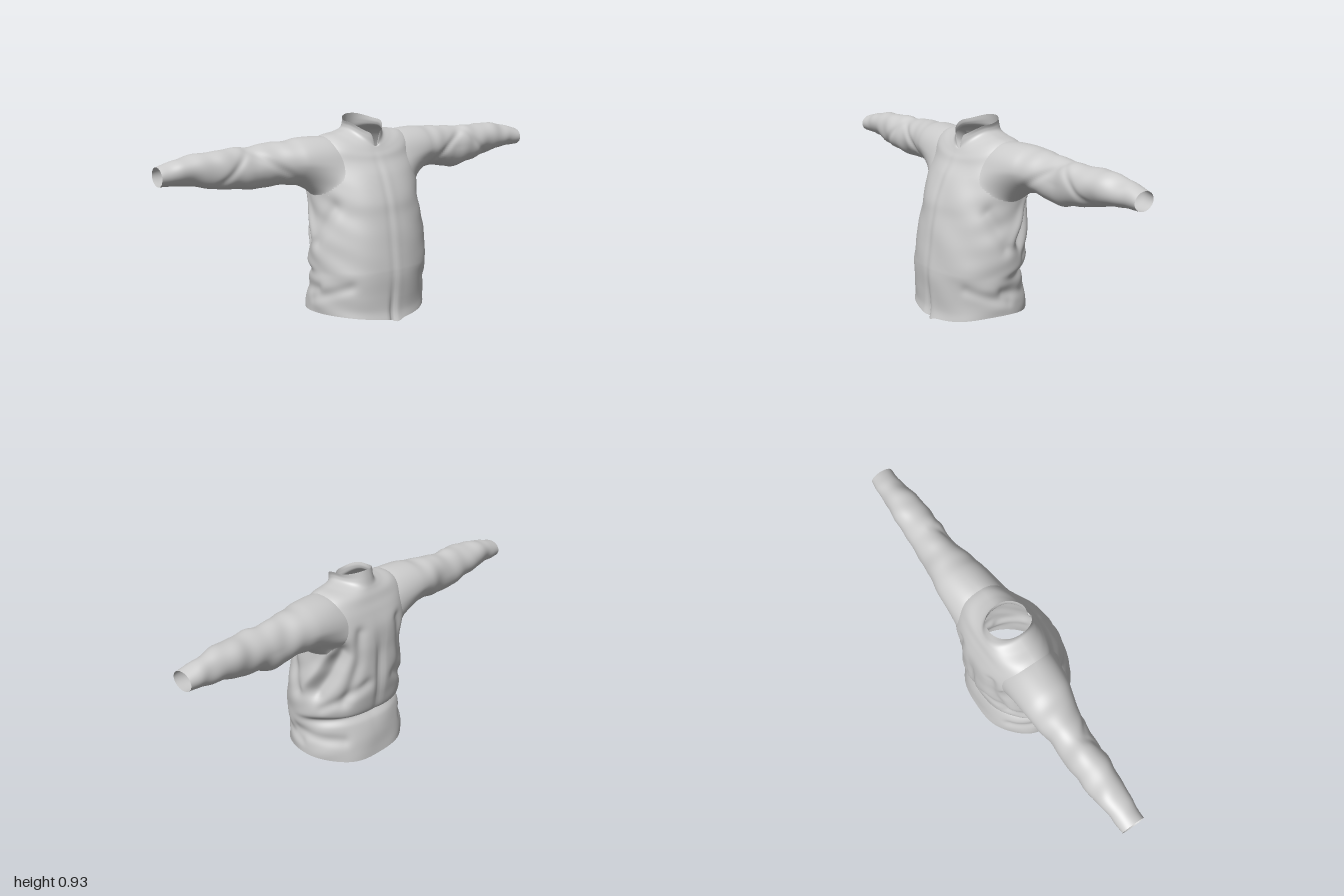
import * as THREE from 'three';

const material = new THREE.MeshStandardMaterial({ color: 0xcccccc, side: THREE.DoubleSide });
const bell = (d, w) => Math.exp(-(d * d) / (w * w));
const { lerp, smoothstep, clamp } = THREE.MathUtils;
const signedPow = (v, p) => Math.sign(v) * Math.pow(Math.abs(v), p);

// Smoothly interpolate a table of cross-section rows at t in 0..1
function sampleRows(rows, t) {
  const n = rows.length - 1;
  const f = t * n;
  const i = Math.min(Math.floor(f), n - 1);
  const k = f - i;
  const at = (j) => rows[Math.max(0, Math.min(n, j))];
  return rows[0].map((_, c) => {
    const a = at(i - 1)[c], b = at(i)[c], d = at(i + 1)[c], e = at(i + 2)[c];
    return b + 0.5 * k * (d - a + k * (2 * a - 5 * b + 4 * d - e + k * (3 * (b - d) + e - a)));
  });
}

// Open tube of rings; point(angle, t) gives each vertex, skip(angle, t) cuts holes
function loft(name, around, along, point, flip = false, skip = () => false) {
  const pts = [];
  for (let j = 0; j <= along; j++) {
    for (let i = 0; i < around; i++) pts.push(point((i / around) * Math.PI * 2, j / along));
  }
  const index = [];
  for (let j = 0; j < along; j++) {
    for (let i = 0; i < around; i++) {
      if (skip(((i + 0.5) / around) * Math.PI * 2, (j + 0.5) / along)) continue;
      const a = j * around + i, b = j * around + ((i + 1) % around);
      const c = a + around, d = b + around;
      if (flip) index.push(a, b, c, b, d, c);
      else index.push(a, c, b, b, c, d);
    }
  }
  const geometry = new THREE.BufferGeometry().setFromPoints(pts);
  geometry.setIndex(index);
  geometry.computeVertexNormals();
  const mesh = new THREE.Mesh(geometry, material);
  mesh.name = name;
  return mesh;
}

// Body rings: y at front, side, back; half width; z at front, back
const bodyRows = [
  [0.02, 0.045, 0.02, 0.294, 0.248, -0.245],
  [0.06, 0.08, 0.06, 0.296, 0.24, -0.24],
  [0.13, 0.13, 0.13, 0.294, 0.243, -0.23],
  [0.2, 0.19, 0.2, 0.292, 0.247, -0.21],
  [0.24, 0.23, 0.24, 0.289, 0.247, -0.183],
  [0.27, 0.27, 0.262, 0.295, 0.245, -0.222],
  [0.34, 0.34, 0.34, 0.293, 0.238, -0.238],
  [0.42, 0.42, 0.42, 0.286, 0.227, -0.245],
  [0.5, 0.5, 0.5, 0.276, 0.21, -0.246],
  [0.56, 0.56, 0.56, 0.269, 0.199, -0.243],
  [0.62, 0.62, 0.62, 0.27, 0.177, -0.238],
  [0.68, 0.68, 0.69, 0.272, 0.148, -0.228],
  [0.73, 0.76, 0.75, 0.265, 0.115, -0.208],
  [0.76, 0.82, 0.79, 0.245, 0.1, -0.19],
  [0.78, 0.85, 0.82, 0.2, 0.088, -0.178],
  [0.8, 0.86, 0.845, 0.14, 0.078, -0.165],
  [0.815, 0.872, 0.865, 0.094, 0.073, -0.157],
  [0.84, 0.89, 0.895, 0.083, 0.072, -0.15],
  [0.86, 0.908, 0.93, 0.086, 0.07, -0.142],
];

// Body folds, mirrored left to right: angle and y of both ends, width, depth
const bodyFolds = [
  [-0.8, 0.6, -0.35, 0.39, 0.045, -0.034],
  [-0.5, 0.6, -0.05, 0.4, 0.03, 0.011],
  [-1.25, 0.68, -0.9, 0.34, 0.03, -0.013],
  [-1.3, 0.42, -0.5, 0.31, 0.028, -0.01],
  [0.5, 0.54, 0.1, 0.38, 0.035, -0.011],
  [0.8, 0.18, 0.0, 0.11, 0.028, -0.008],
  [-0.9, 0.13, 0.1, 0.16, 0.028, -0.01],
];

function foldDepth(angle, y) {
  let sum = 0;
  for (const [a0, y0, a1, y1, width, depth] of bodyFolds) {
    const dx = (a1 - a0) * 0.27, dy = y1 - y0;
    const px = (angle - a0) * 0.27, py = y - y0;
    const k = clamp((px * dx + py * dy) / (dx * dx + dy * dy), 0, 1);
    sum += depth * bell(Math.hypot(px - k * dx, py - k * dy), width);
  }
  return sum;
}

function bodyPoint(angle, t) {
  const [yF, yS, yB, w, zF, zB] = sampleRows(bodyRows, t);
  const c = Math.cos(angle), s = Math.sin(angle);
  const mid = (zF + zB) / 2, half = (zF - zB) / 2;
  let y = lerp(yS, s > 0 ? yF : yB, s * s);
  // Round front; the back is squarer, most of all across the shoulder blades
  const square = s < 0 ? smoothstep(t, 0.45, 0.6) * (1 - smoothstep(t, 0.76, 0.88)) : 0;
  let x = w * signedPow(c, s < 0 ? 0.88 - 0.2 * square : 1) - 0.008 * (1 - smoothstep(y, 0.15, 0.35));
  let z = mid + half * signedPow(s, 1 - 0.2 * square);
  // Cloth folds fade out towards the collar
  const cloth = 1 - smoothstep(y, 0.66, 0.82);
  let d = foldDepth(Math.atan2(s, Math.abs(c)), y);
  d += 0.003 * Math.sin(c * 7 + y * 11 + 1) * Math.sin(y * 15 - s * 4);
  d += 0.003 * c * c * Math.sin(y * 44 + s * 6 + c) * Math.sin(y * 13 + c * 2);
  if (s > 0) {
    // Front closing edge, with a deeper slit at the hem
    d += 0.002 * bell(x - 0.012, 0.02) - 0.003 * bell(x + 0.018, 0.016);
    d -= 0.016 * bell(x + 0.018, 0.012) * bell(y, 0.12);
    y -= 0.015 * bell(x, 0.03) * bell(t, 0.06);
    // Open notch of the collar
    y -= 0.065 * bell(x - 0.003, 0.015) * smoothstep(t, 0.82, 1);
  } else {
    // Vertical crease along the back
    d -= 0.016 * bell(x - 0.015, 0.022) * bell(y - 0.46, 0.17);
  }
  // Uneven hem
  y += 0.006 * Math.sin(angle * 3 + 1) * bell(t, 0.08);
  x += c * d * cloth;
  z += s * d * cloth;
  return new THREE.Vector3(x, Math.max(y, 0), z);
}

// Armhole: an oval on the body surface, reaching further round at the back
const armhole = { front: 0.85, back: 1.0, t: 0.645, tRadius: 0.125 };

function armholePoint(side, c, s) {
  const a = (c > 0 ? armhole.front : armhole.back) * c;
  return bodyPoint(side > 0 ? a : Math.PI - a, armhole.t + armhole.tRadius * s);
}

function inArmhole(angle, t) {
  const a = Math.atan2(Math.sin(angle), Math.abs(Math.cos(angle)));
  const reach = a > 0 ? armhole.front : armhole.back;
  return Math.hypot(a / reach, (t - armhole.t) / armhole.tRadius) < 0.92;
}

// Sleeve rings: x; bottom and top y; back and front z
const sleeveRows = [
  [0.26, 0.59, 0.856, -0.202, 0.072],
  [0.32, 0.626, 0.852, -0.196, 0.056],
  [0.4, 0.645, 0.842, -0.186, 0.032],
  [0.5, 0.637, 0.836, -0.173, 0.008],
  [0.56, 0.634, 0.83, -0.167, 0.003],
  [0.63, 0.642, 0.828, -0.166, 0.003],
  [0.7, 0.654, 0.828, -0.165, -0.001],
  [0.8, 0.674, 0.825, -0.161, -0.012],
  [0.9, 0.692, 0.809, -0.152, -0.03],
  [0.96, 0.696, 0.794, -0.147, -0.033],
  [1.0, 0.698, 0.782, -0.143, -0.033],
];

function sleevePoint(side) {
  return (angle, t) => {
    const [x, y0, y1, z0, z1] = sampleRows(sleeveRows, t);
    const c = Math.cos(angle), s = Math.sin(angle);
    // Loose diagonal wrinkles, strongest at the elbow; the left elbow sags
    const fade = smoothstep(x, 0.3, 0.45) * (1 - smoothstep(x, 0.9, 1));
    const d = fade * (0.004 * Math.sin(x * 23 + angle * 2 + side) * Math.sin(x * 9 - angle)
      + 0.0025 * Math.sin(x * 49 - angle * 2 + side) * Math.sin(x * 13 + angle + side * 2)
      + (0.003 + 0.009 * side) * bell(x - 0.56, 0.05) * Math.max(-s, 0)
      - 0.008 * bell(x - 0.47 - 0.13 * s, 0.025) * Math.max(c, 0)
      - 0.006 * bell(x - 0.68 + 0.08 * s, 0.022) * Math.max(c, 0));
    // Underarm narrows to a blunt point near the body
    const taper = 1 - 0.16 * Math.max(-s, 0) * (1 - smoothstep(x, 0.3, 0.45));
    const p = new THREE.Vector3(
      side * x,
      (y0 + y1) / 2 + ((y1 - y0) / 2 + d) * s,
      (z0 + z1) / 2 + ((z1 - z0) / 2 + d) * c * taper + side * 0.008 * smoothstep(x, 0.3, 0.6),
    );
    // The shoulder end grows smoothly out of the armhole
    return armholePoint(side, c, s).lerp(p, smoothstep(t, -0.02, 0.14) * smoothstep(t, 0, 0.03));
  };
}

export function createModel() {
  const jacket = new THREE.Group();
  jacket.name = 'jacket';
  jacket.add(loft('bodyAndCollar', 160, 130, bodyPoint, false, inArmhole));
  jacket.add(loft('leftSleeve', 64, 100, sleevePoint(1)));
  jacket.add(loft('rightSleeve', 64, 100, sleevePoint(-1), true));
  return jacket;
}
